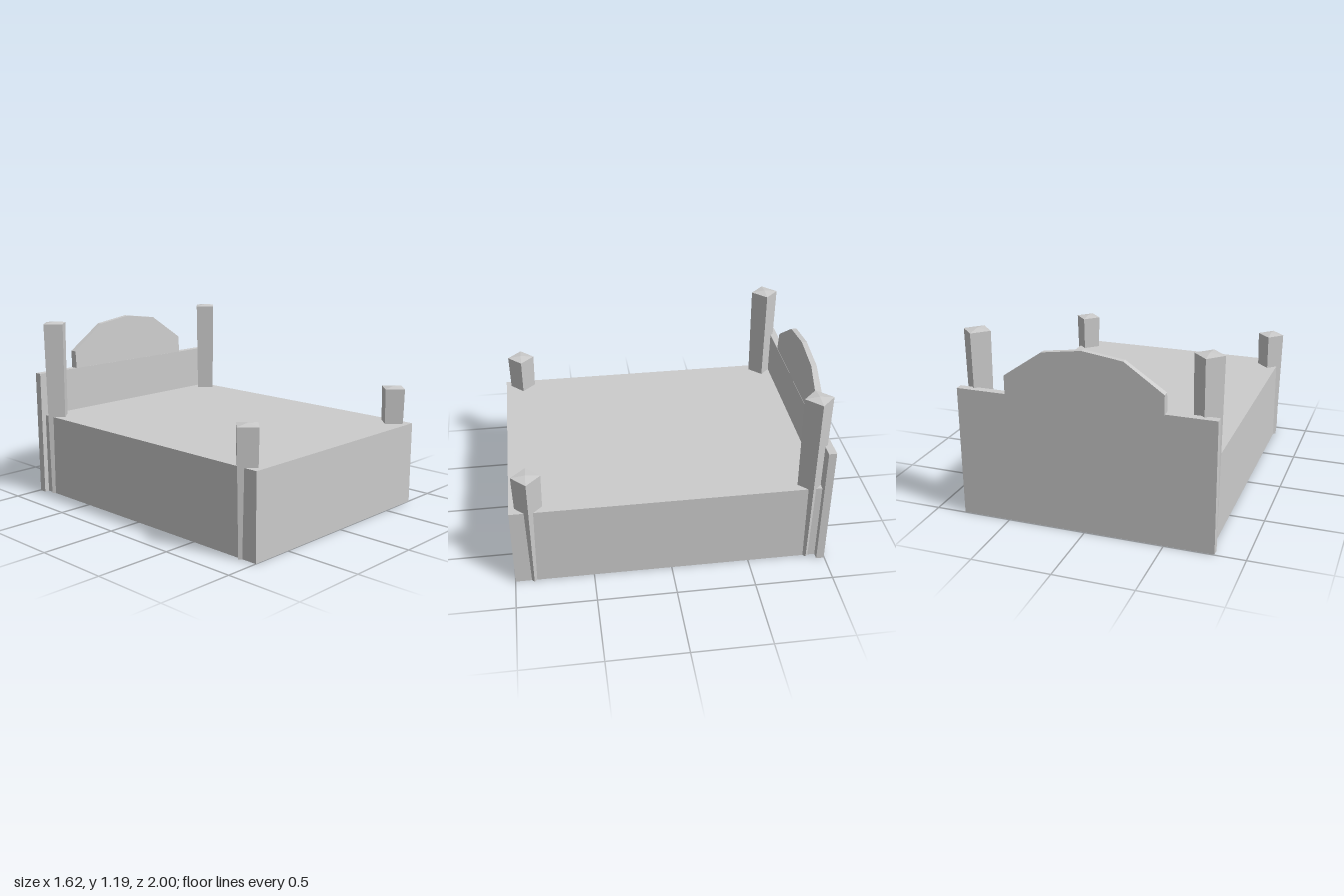
import * as THREE from 'three';

const material = new THREE.MeshStandardMaterial({ color: 0xcccccc, flatShading: true, side: THREE.DoubleSide });

function addMesh(parent, name, geometry, x = 0, y = 0, z = 0) {
  const mesh = new THREE.Mesh(geometry, material);
  mesh.name = name;
  mesh.position.set(x, y, z);
  parent.add(mesh);
  return mesh;
}

// Tapered four-sided post, corners on the axes, with a low pyramid cap
function postGeometry(height) {
  const capHeight = 0.011;
  const profile = [
    [0, 0], [0.073, 0], [0.09, height - capHeight], [0, height],
  ].map(([r, y]) => new THREE.Vector2(r, y));
  return new THREE.LatheGeometry(profile, 4);
}

// Faceted arch whose front face leans back towards the top
function archGeometry(baseY, backZ) {
  const outline = [
    [-0.5, baseY], [0.49, baseY], [0.49, 0.952], [0.243, 1.122],
    [-0.005, 1.157], [-0.256, 1.122], [-0.5, 0.952],
  ].map(([x, y]) => new THREE.Vector2(x, y));
  const geometry = new THREE.ExtrudeGeometry(new THREE.Shape(outline), { depth: 0.053, bevelEnabled: false });
  const pos = geometry.attributes.position;
  for (let i = 0; i < pos.count; i++) {
    const lean = pos.getZ(i) > 0 ? 0.06 * (pos.getY(i) - baseY) : 0;
    pos.setZ(i, pos.getZ(i) + backZ - lean);
  }
  geometry.computeVertexNormals();
  return geometry;
}

export function createModel() {
  const bed = new THREE.Group();
  bed.name = 'bed';

  // Bed base: thin-walled box, open underneath
  const base = new THREE.BoxGeometry(1.545, 0.543, 1.993);
  const index = Array.from(base.index.array);
  index.splice(18, 6); // drop the bottom face
  base.setIndex(index);
  base.clearGroups();
  addMesh(bed, 'bedBase', base, -0.006, 0.2715, 0.0035);

  // Headboard panel and its arch
  addMesh(bed, 'headboard', new THREE.BoxGeometry(1.62, 0.835, 0.05), 0, 0.4175, -0.971);
  addMesh(bed, 'headboardArch', archGeometry(0.83, -1));

  // Corner posts: tall at the head, short at the foot
  for (const [side, x] of [['Right', -0.722], ['Left', 0.71]]) {
    addMesh(bed, 'headPost' + side, postGeometry(1.19), x, 0, -0.882);
    addMesh(bed, 'footPost' + side, postGeometry(0.787), x, 0, 0.88);
  }

  return bed;
}
